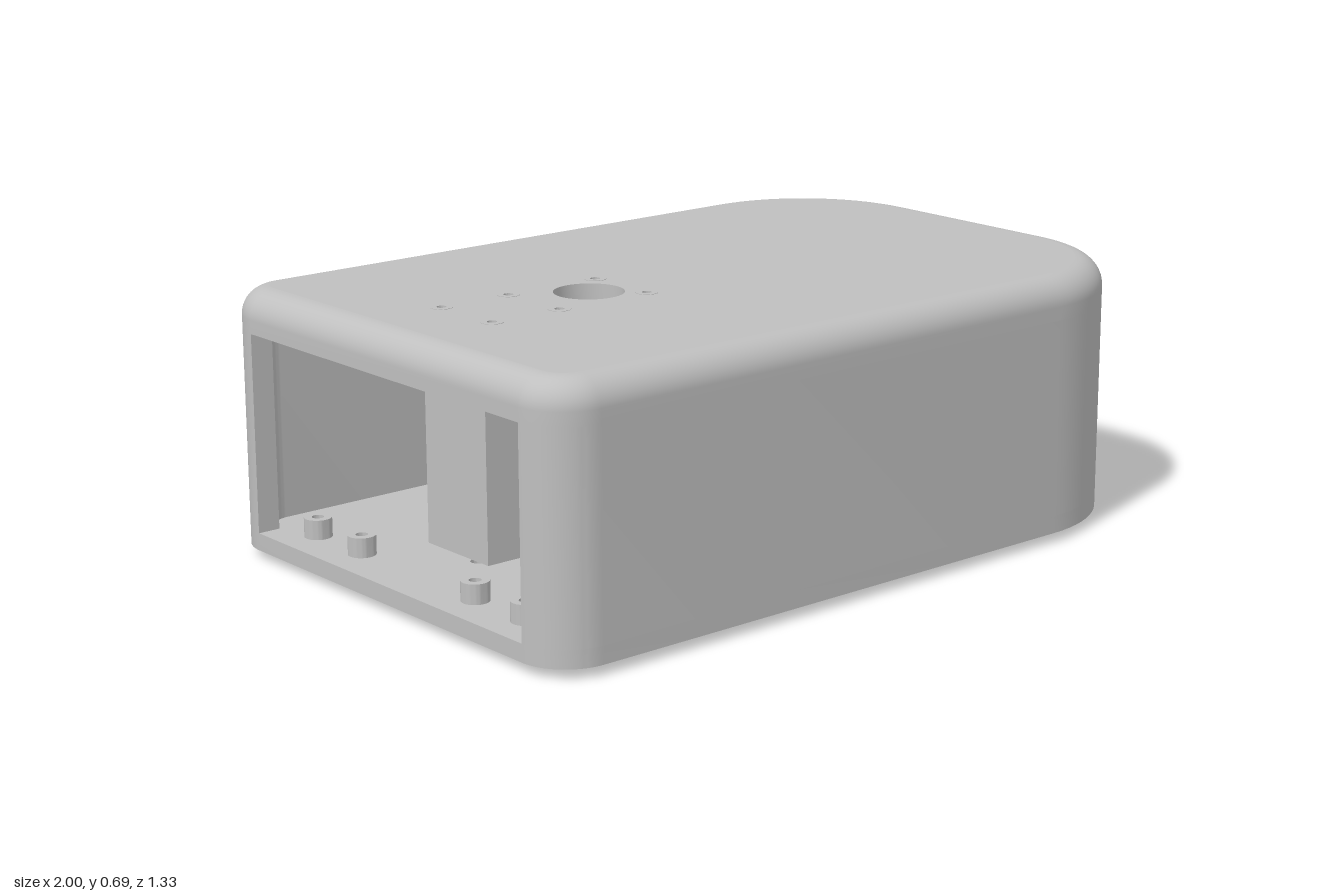
import * as THREE from 'three';
import { toCreasedNormals } from 'three/addons/utils/BufferGeometryUtils.js';

const FLOOR = 0.025, SILL = 0.07, HEAD = 0.58, TOP = 0.685, FILLET = 0.07, WALL = 0.06;

// Plan outline (x, -z): large corners at +x, small at -x, starting and ending on the -x side
function outline(inset, n = 20) {
  const a = 1 - inset, b = 0.665 - inset, R = 0.4 - inset, r = 0.13 - inset;
  const corners = [
    [-a + r, -b + r, r, 2], [a - R, -b + R, R, 3], [a - R, b - R, R, 0], [-a + r, b - r, r, 1],
  ];
  return corners.flatMap(([x, y, rad, q]) => Array.from({ length: n + 1 }, (_, k) => {
    const t = (q + k / n) * Math.PI / 2;
    return new THREE.Vector2(x + rad * Math.cos(t), y + rad * Math.sin(t));
  }));
}

const rectangle = (x, z, w, d) => [[-1, -1], [1, -1], [1, 1], [-1, 1]]
  .map(([i, j]) => new THREE.Vector2(x + i * w / 2, -z + j * d / 2));

function circle(x, z, r) {
  return new THREE.Path().absarc(x, -z, r, 0, Math.PI * 2, true);
}

function disc(r) {
  return new THREE.Shape().absarc(0, 0, r, 0, Math.PI * 2, false);
}

// Horizontal plate with holes
function slab(shape, y, h) {
  const g = new THREE.ExtrudeGeometry(shape, { depth: h, bevelEnabled: false, curveSegments: 24 });
  return toCreasedNormals(g.rotateX(-Math.PI / 2).translate(0, y, 0), 0.5);
}

// Closed skin through plan rings, each [points, y]
function loft(rings) {
  const n = rings[0][0].length, pos = [], index = [];
  for (const [pts, y] of rings) for (const p of pts) pos.push(p.x, y, -p.y);
  for (let i = 0; i < rings.length - 1; i++) {
    for (let j = 0; j < n; j++) {
      const a = i * n + j, b = i * n + (j + 1) % n;
      index.push(a, b, b + n, a, b + n, a + n);
    }
  }
  const g = new THREE.BufferGeometry();
  g.setAttribute('position', new THREE.Float32BufferAttribute(pos, 3));
  g.setIndex(index);
  g.computeVertexNormals();
  return g;
}

export function createModel() {
  const model = new THREE.Group();
  const gray = new THREE.MeshStandardMaterial({ color: 0xbfbfbf });
  gray.name = 'plainGray';
  const add = (name, geometry, x = 0, y = 0, z = 0) => {
    const mesh = new THREE.Mesh(geometry, gray);
    mesh.name = name;
    mesh.position.set(x, y, z);
    model.add(mesh);
  };

  // Ring with a central hole, standing upright
  const ring = (r, hole, h) => {
    const s = disc(r);
    s.holes.push(circle(0, 0, hole));
    return slab(s, 0, h);
  };

  const hubX = -0.37;
  const slots = [-0.375, 0.375];
  const floorBolts = [[-0.52, -0.1], [-0.52, 0.1], [-0.63, -0.1], [-0.63, 0.1], [-0.72, 0]];
  const topBolts = [-0.74, -0.54, -0.27].flatMap(x => [[x, -0.1], [x, 0.1]]);

  // Floor plate with two wheel slots and bolt holes
  const floor = new THREE.Shape(outline(0));
  for (const z of slots) floor.holes.push(new THREE.Path(rectangle(-0.01, z, 0.2, 0.37)));
  for (const [x, z] of floorBolts) floor.holes.push(circle(x, z, 0.02));
  add('floorPlate', slab(floor, FLOOR, SILL - FLOOR));

  // Bevelled slot surrounds
  for (const z of slots) {
    const wide = rectangle(-0.01, z, 0.2, 0.37), narrow = rectangle(-0.01, z, 0.14, 0.31);
    const bevel = loft([[narrow, SILL], [wide, FLOOR]]);
    add('slotBevel', toCreasedNormals(bevel, 0.5));
    const rim = new THREE.Shape(wide);
    rim.holes.push(new THREE.Path(narrow));
    add('slotRim', slab(rim, SILL - 0.004, 0.004));
  }

  // Side wall, open at the -x end
  add('sideWall', slab(new THREE.Shape([...outline(0), ...outline(WALL).reverse()]), SILL, HEAD - SILL));

  // Rounded lid: outer skin, top face, inner skin, ceiling and lower rim
  const rings = [[outline(0), HEAD]];
  for (let k = 0; k <= 10; k++) {
    const t = k / 10 * Math.PI / 2;
    rings.push([outline(FILLET * (1 - Math.cos(t))), TOP - FILLET + FILLET * Math.sin(t)]);
  }
  add('lidEdge', loft(rings));
  const lid = new THREE.Shape(outline(FILLET));
  lid.holes.push(circle(hubX, 0, 0.088));
  for (const [x, z] of topBolts) lid.holes.push(circle(x, z, 0.012));
  add('lidTop', slab(lid, TOP - 0.06, 0.06));
  add('lidInnerWall', loft([[outline(WALL), TOP - 0.06], [outline(WALL), HEAD]]));
  const rim = new THREE.Shape(outline(0));
  rim.holes.push(new THREE.Path(outline(WALL)));
  add('lidRim', slab(rim, HEAD, 0.004));

  // Bolt collars on top
  for (const [x, z] of topBolts) add('boltCollar', ring(0.028, 0.012, 0.004), x, TOP - 0.003, z);

  // Inner mounting block with the hub seen through the lid hole
  add('mountingBlock', new THREE.BoxGeometry(0.58, 0.52, 0.24), -0.49, 0.36, 0);
  add('hubFlange', ring(0.078, 0.055, 0.012), hubX, 0.62, 0);
  add('hub', ring(0.04, 0.02, 0.035), hubX, 0.62, 0);

  // Round pad underneath
  const pad = disc(0.13);
  pad.holes.push(circle(0, 0, 0.025));
  for (let k = 0; k < 4; k++) {
    const t = k * Math.PI / 2 + Math.PI / 4;
    pad.holes.push(circle(0.085 * Math.cos(t), 0.085 * Math.sin(t), 0.012));
  }
  add('bottomPad', slab(pad, 0, FLOOR), hubX, 0, 0);

  // Standoffs on the floor near the open end
  for (const z of [-0.42, -0.23, 0.23, 0.42]) add('standoff', ring(0.035, 0.015, 0.05), -0.9, SILL, z);

  // Square cover and its frame on the +x end
  add('squareCover', new THREE.BoxGeometry(0.006, 0.106, 0.106), 0.999, 0.27, 0);
  const frame = new THREE.Shape(rectangle(0, 0, 0.122, 0.122));
  frame.holes.push(new THREE.Path(rectangle(0, 0, 0.112, 0.112)));
  add('coverFrame', slab(frame, 0, 0.003).rotateZ(-Math.PI / 2), 0.999, 0.27, 0);

  return model;
}
